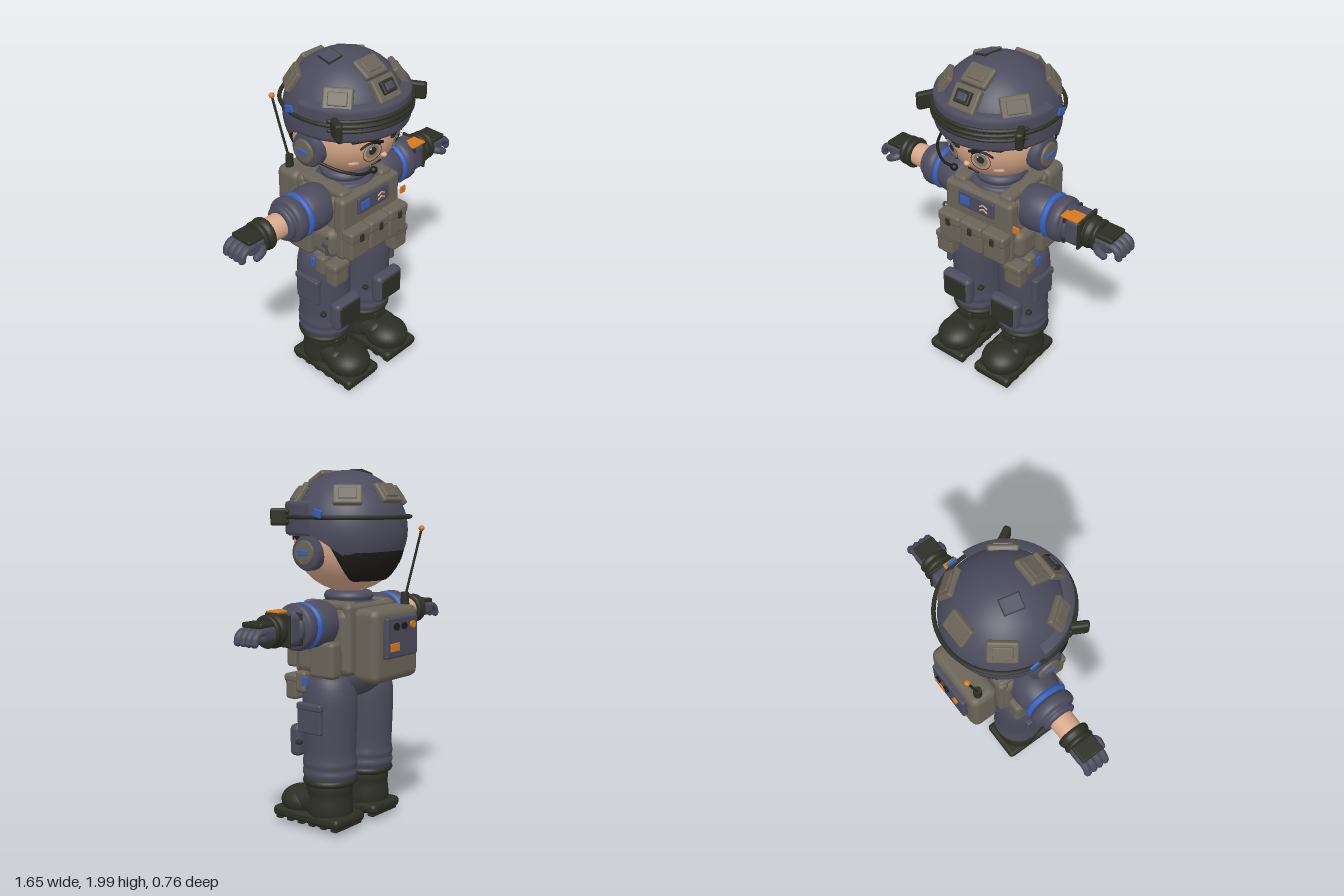
import * as THREE from 'three';
import { RoundedBoxGeometry } from 'three/addons/geometries/RoundedBoxGeometry.js';
import { ParametricGeometry } from 'three/addons/geometries/ParametricGeometry.js';

const mat = (name, color) => Object.assign(new THREE.MeshStandardMaterial({ color }), { name });
const M = {
  navy: mat('slate navy cloth', 0x4c4b5d), taupe: mat('taupe webbing', 0x6a6457),
  olive: mat('dark olive rubber', 0x2d2e23), skin: mat('skin', 0xd9a98a),
  blue: mat('blue', 0x3560bd), orange: mat('orange', 0xd67a1e),
  black: mat('black', 0x1e1b18), grey: mat('eye grey', 0x85857a), white: mat('eye glint', 0xe8e4da),
};
const V = (x, y, z) => new THREE.Vector3(x, y, z);

export function createModel() {
  const root = new THREE.Group();
  root.name = 'soldierFigure';

  const group = (name, parent = root) => {
    const g = new THREE.Group();
    g.name = name;
    parent.add(g);
    return g;
  };
  const add = (parent, name, geo, material, x = 0, y = 0, z = 0) => {
    const m = new THREE.Mesh(geo, material);
    m.name = name;
    m.position.set(x, y, z);
    parent.add(m);
    return m;
  };
  const box = (p, n, m, w, h, d, x, y, z, r = 0.015) =>
    add(p, n, new RoundedBoxGeometry(w, h, d, 2, Math.min(r, w / 2.1, h / 2.1, d / 2.1)), m, x, y, z);
  const ball = (p, n, m, rx, ry, rz, x, y, z) =>
    add(p, n, new THREE.SphereGeometry(1, 28, 18).scale(rx, ry, rz), m, x, y, z);
  const tube = (p, n, m, pts, r) => {
    add(p, n, new THREE.TubeGeometry(new THREE.CatmullRomCurve3(pts), 16, r, 8), m);
    for (const e of [pts[0], pts[pts.length - 1]])
      add(p, n + 'End', new THREE.SphereGeometry(r, 8, 6), m, e.x, e.y, e.z);
  };
  const lathe = (pts, start = 0, len = Math.PI * 2) =>
    new THREE.LatheGeometry(pts.map(([r, y]) => new THREE.Vector2(r, y)), 32, start, len);
  const smooth = (pts) => new THREE.SplineCurve(pts.map(([r, y]) => new THREE.Vector2(r, y)))
    .getPoints(24).map((p) => [Math.max(p.x, 0), p.y]);
  const alongX = (geo) => geo.rotateZ(-Math.PI / 2);

  // Dome shell whose lower edge follows a height rule; the first row turns inward as a rim
  const shell = (c, rx, ry, rz, edge) => new ParametricGeometry((u, v, t) => {
    const az = u * Math.PI * 2 - Math.PI;
    const low = Math.acos((edge((1 - Math.cos(az)) / 2, az) - c.y) / ry);
    const k = v === 0 ? 0.88 : 1;
    const a = low * (1 - Math.max(0, (v * 20 - 1) / 19));
    t.set(c.x + rx * k * Math.sin(a) * Math.sin(az), c.y + ry * Math.cos(a), c.z + rz * k * Math.sin(a) * Math.cos(az));
  }, 64, 20);
  const step = THREE.MathUtils.smoothstep;

  // Head and face
  const head = group('head');
  ball(head, 'face', M.skin, 0.3, 0.28, 0.3, 0, 1.6, 0);
  add(head, 'hair', shell(V(0, 1.6, 0), 0.308, 0.288, 0.308,
    (s, az) => 1.62 + 0.012 * Math.sin(az * 16) * (s < 0.5 ? 1 : 0) - 0.23 * step(s, 0.6, 0.85)), M.black);
  const onFace = (x, y, off = 0.003) => {
    const z = 0.3 * Math.sqrt(1 - (x / 0.3) ** 2 - ((y - 1.6) / 0.28) ** 2);
    const n = V(x / 0.09, (y - 1.6) / 0.0784, z / 0.09).normalize();
    return [V(x, y, z).addScaledVector(n, off), n];
  };
  const decal = (n, geo, m, x, y, off) => {
    const [p, nor] = onFace(x, y, off);
    add(head, n, geo, m, p.x, p.y, p.z).lookAt(p.clone().add(nor));
  };
  const line = (n, m, pts, r) => tube(head, n, m, pts.map(([x, y]) => onFace(x, y, 0.002)[0]), r);
  for (const s of [-1, 1]) {
    decal('eyeOutline', new THREE.RingGeometry(0.05, 0.053, 32).scale(1, 1.2, 1), M.black, s * 0.092, 1.54, 0.006);
    decal('iris', new THREE.CircleGeometry(0.038, 32).scale(1, 1.2, 1), M.grey, s * 0.092, 1.545, 0.005);
    decal('pupil', new THREE.CircleGeometry(0.021, 24).scale(1, 1.2, 1), M.olive, s * 0.092, 1.548, 0.007);
    decal('eyeGlint', new THREE.CircleGeometry(0.006, 12), M.white, s * 0.092 - 0.012, 1.564, 0.009);
    line('upperLash', M.black, [[s * 0.15, 1.568], [s * 0.12, 1.59], [s * 0.08, 1.591], [s * 0.05, 1.575]], 0.006);
    line('eyebrow', M.black, [[s * 0.185, 1.61], [s * 0.11, 1.612], [s * 0.035, 1.583]], 0.008);
    const [c] = onFace(s * 0.155, 1.465, -0.004);
    ball(head, 'cheek', M.skin, 0.03, 0.014, 0.012, c.x, c.y, c.z).rotation.y = s * 0.6;
  }
  ball(head, 'nose', M.skin, 0.017, 0.014, 0.02, 0, 1.485, 0.277);
  line('mouth', M.black, [[-0.03, 1.418], [0, 1.428], [0.03, 1.418]], 0.006);

  // Helmet shell, brim, goggle frame and strap
  const helmet = group('helmet');
  const hc = V(0, 1.66, 0.005);
  add(helmet, 'helmetShell', shell(hc, 0.328, 0.32, 0.328, (s) => 1.63 - 0.15 * step(s, 0.5, 0.95)), M.navy);
  add(helmet, 'brim', lathe([[0.3, 1.635], [0.33, 1.635], [0.335, 1.65], [0.336, 1.79], [0.331, 1.81], [0.28, 1.818]],
    -Math.PI / 2, Math.PI).scale(1, 1, 1.06), M.navy);
  const strap = add(helmet, 'strap', new THREE.TorusGeometry(0.338, 0.011, 8, 64).rotateX(Math.PI / 2), M.olive, 0, 1.73, 0.012);
  strap.scale.z = 1.04;
  const arc = (y) => Array.from({ length: 17 }, (_, i) => {
    const a = (i / 8 - 1) * 1.05;
    return V(0.348 * Math.sin(a), y, 0.362 * Math.cos(a));
  });
  tube(helmet, 'goggleTop', M.olive, arc(1.757), 0.011);
  tube(helmet, 'goggleBottom', M.olive, arc(1.703), 0.009);
  for (const s of [-1, 1]) {
    box(helmet, 'goggleClip', M.olive, 0.04, 0.095, 0.1, s * 0.302, 1.73, 0.235, 0.014).rotation.y = s * 0.5;
    box(helmet, 'strapTag', M.blue, 0.012, 0.04, 0.055, s * 0.338, 1.752, -0.06, 0.004).rotation.x = -0.3;
  }
  // Patches lying on the dome
  const onDome = (name, az, pol) => {
    const g = group(name, helmet);
    const n = V(Math.sin(pol) * Math.sin(az), Math.cos(pol), Math.sin(pol) * Math.cos(az));
    g.position.copy(hc).add(V(n.x * 0.328, n.y * 0.32, n.z * 0.328));
    g.lookAt(g.position.clone().add(n));
    return g;
  };
  for (const [az, pol] of [[0, 0.53], [0.94, 0.98], [-0.94, 0.98], [2.23, 0.96], [-2.23, 0.96], [Math.PI, 0.92]]) {
    const g = onDome('helmetPatch', az, pol);
    box(g, 'patchBase', M.taupe, 0.155, 0.12, 0.034, 0, 0, 0.004, 0.012);
    box(g, 'patchInset', M.taupe, 0.1, 0.07, 0.02, 0, 0, 0.018, 0.006);
  }
  const mount = onDome('lampMount', 0, 0.93);
  box(mount, 'mountBase', M.taupe, 0.16, 0.13, 0.04, 0, 0, 0.01, 0.012);
  box(mount, 'mountBlock', M.olive, 0.09, 0.07, 0.04, 0, 0.005, 0.03, 0.008);
  box(mount, 'mountFace', M.navy, 0.055, 0.04, 0.02, 0, 0.005, 0.046, 0.006);
  const crown = onDome('crownPatch', -1.8, 0.28);
  box(crown, 'crownEdge', M.olive, 0.108, 0.084, 0.012, 0, 0, 0, 0.003);
  box(crown, 'crownPlate', M.navy, 0.1, 0.076, 0.012, 0, 0, 0.003, 0.003);

  // Ear cups and microphone
  for (const s of [-1, 1]) {
    const ear = group('earCup');
    ear.position.set(s * 0.255, 1.545, 0.035);
    ear.scale.x = s;
    add(ear, 'cup', alongX(lathe([[0.09, 0], [0.096, 0.015], [0.096, 0.055], [0.085, 0.075], [0, 0.078]])), M.navy);
    add(ear, 'cupDisc', alongX(lathe([[0.066, 0.07], [0.066, 0.082], [0.058, 0.09], [0, 0.09]])), M.taupe);
    box(ear, 'cupLight', M.blue, 0.01, 0.026, 0.065, 0.091, 0, 0, 0.004);
  }
  tube(root, 'microphoneBoom', M.black, [V(-0.31, 1.5, 0.09), V(-0.25, 1.465, 0.22), V(-0.16, 1.435, 0.28), V(-0.085, 1.43, 0.285)], 0.008);
  ball(root, 'microphone', M.black, 0.022, 0.02, 0.02, -0.082, 1.43, 0.285);

  // Torso, collar and hips
  ball(root, 'torso', M.navy, 0.24, 0.27, 0.16, 0, 1.06, 0);
  add(root, 'collar', lathe(smooth([[0.17, 1.22], [0.155, 1.265], [0.13, 1.275], [0.138, 1.3], [0.12, 1.325], [0.08, 1.33]])), M.navy);
  ball(root, 'hips', M.navy, 0.262, 0.13, 0.168, 0, 0.86, -0.003);
  add(root, 'belt', new THREE.CylinderGeometry(0.25, 0.25, 0.05, 40, 1).scale(1, 1, 0.68), M.olive, 0, 0.868, 0);

  // Vest
  const vest = group('vest');
  box(vest, 'vestBody', M.taupe, 0.45, 0.37, 0.32, 0, 1.06, 0, 0.05);
  box(vest, 'chestPlate', M.taupe, 0.45, 0.38, 0.08, 0, 1.065, 0.165, 0.025);
  box(vest, 'backPlate', M.taupe, 0.42, 0.38, 0.06, 0, 1.08, -0.14, 0.025);
  box(vest, 'waistBand', M.taupe, 0.54, 0.18, 0.3, 0, 0.97, 0.02, 0.05);
  box(vest, 'nameBase', M.navy, 0.24, 0.1, 0.02, 0, 1.185, 0.21, 0.009);
  box(vest, 'nameBadge', M.blue, 0.065, 0.05, 0.008, -0.07, 1.185, 0.222, 0.003);
  for (const y of [1.172, 1.198]) for (const s of [-1, 1])
    box(vest, 'chevron', M.skin, 0.032, 0.008, 0.006, 0.055 + s * 0.013, y, 0.222, 0.002).rotation.z = -s * 0.5;
  box(vest, 'orangeTag', M.orange, 0.04, 0.042, 0.01, 0.257, 1.12, 0.2, 0.003);
  for (const x of [-0.152, 0, 0.152]) {
    box(vest, 'magazinePouch', M.taupe, 0.146, 0.17, 0.07, x, 0.985, 0.232, 0.018);
    box(vest, 'pouchFlap', M.taupe, 0.15, 0.065, 0.082, x, 1.048, 0.232, 0.016);
    box(vest, 'pouchBuckle', M.olive, 0.026, 0.045, 0.012, x, 1.035, 0.276, 0.004);
  }
  for (const s of [-1, 1]) {
    box(vest, 'shoulderStrap', M.taupe, 0.085, 0.05, 0.33, s * 0.155, 1.255, 0.005, 0.022);
    box(vest, 'sidePouch', M.taupe, 0.09, 0.2, 0.17, s * 0.265, 0.975, -0.05, 0.025);
    box(vest, 'hipPouch', M.taupe, 0.115, 0.13, 0.08, s * 0.24, 0.8, 0.175, 0.02);
    box(vest, 'hipPouchFlap', M.taupe, 0.122, 0.045, 0.09, s * 0.24, 0.855, 0.175, 0.015);
    box(vest, 'hipHolder', M.taupe, 0.06, 0.12, 0.07, s * 0.275, 0.84, 0.1, 0.018);
    box(vest, 'hipTag', M.blue, 0.012, 0.05, 0.032, s * 0.308, 0.85, 0.06, 0.004);
  }
  add(vest, 'clipRing', new THREE.TorusGeometry(0.024, 0.007, 8, 24), M.navy, -0.28, 1.0, 0.13);
  box(vest, 'clipStrap', M.navy, 0.016, 0.07, 0.016, -0.275, 0.945, 0.13, 0.005);

  // Backpack radio with antenna
  const pack = group('backpack');
  box(pack, 'packBody', M.taupe, 0.4, 0.4, 0.17, 0, 1.055, -0.255, 0.045);
  box(pack, 'radioPanel', M.navy, 0.28, 0.22, 0.04, 0, 1.1, -0.35, 0.012);
  [[0.07, 'black'], [0, 'black'], [-0.08, 'orange']].forEach(([x, c]) =>
    add(pack, 'radioKnob', new THREE.CylinderGeometry(0.018, 0.02, 0.018, 20).rotateX(Math.PI / 2), M[c], x, 1.16, -0.375));
  box(pack, 'radioLabel', M.orange, 0.08, 0.045, 0.01, 0.075, 1.05, -0.371, 0.003);
  add(pack, 'antennaBase', new THREE.CylinderGeometry(0.022, 0.024, 0.07, 20), M.olive, -0.15, 1.285, -0.275);
  tube(pack, 'antenna', M.olive, [V(-0.15, 1.3, -0.278), V(-0.17, 1.48, -0.315), V(-0.188, 1.665, -0.354)], 0.007);
  ball(pack, 'antennaTip', M.orange, 0.016, 0.016, 0.016, -0.188, 1.668, -0.354);

  // Arms and gloved hands, modelled pointing along +x and mirrored
  for (const s of [-1, 1]) {
    const arm = group(s > 0 ? 'leftArm' : 'rightArm');
    arm.position.set(0, 1.165, 0.01);
    arm.scale.x = s;
    const turned = (n, m, pts) => add(arm, n, alongX(lathe(smooth(pts))), m);
    turned('shoulder', M.navy, [[0.08, 0.14], [0.115, 0.2], [0.127, 0.27], [0.12, 0.33], [0.105, 0.37], [0.105, 0.41]]);
    add(arm, 'armBand', new THREE.TorusGeometry(0.105, 0.022, 10, 36).rotateY(Math.PI / 2), M.blue, 0.368).scale.x = 0.85;
    turned('sleeve', M.navy, [[0.1, 0.38], [0.122, 0.4], [0.127, 0.43], [0.12, 0.455], [0.098, 0.465],
      [0.098, 0.485], [0.085, 0.498], [0.05, 0.5]]);
    turned('forearm', s > 0 ? M.navy : M.skin, [[0.068, 0.47], [0.068, 0.55], [0.064, 0.62]]);
    turned('gloveCuff', M.olive, [[0.05, 0.588], [0.084, 0.592], [0.09, 0.61], [0.085, 0.625], [0.08, 0.635],
      [0.086, 0.65], [0.08, 0.665], [0.04, 0.67]]);
    box(arm, 'palm', M.navy, 0.12, 0.085, 0.15, 0.705, -0.003, 0, 0.03);
    box(arm, 'handPlate', M.olive, 0.1, 0.028, 0.135, 0.715, 0.042, 0.003, 0.01);
    for (const z of [-0.058, -0.02, 0.018, 0.056])
      tube(arm, 'finger', M.navy, [V(0.73, 0.012, z), V(0.775, 0.008, z), V(0.8, -0.015, z), V(0.805, -0.04, z)], 0.021);
    tube(arm, 'thumb', M.navy, [V(0.67, -0.015, 0.06), V(0.7, -0.025, 0.09), V(0.735, -0.04, 0.09)], 0.021);
    if (s > 0) {
      box(arm, 'wristDevice', M.navy, 0.1, 0.165, 0.165, 0.525, 0, 0, 0.03);
      for (const x of [0.482, 0.572]) box(arm, 'deviceStrap', M.olive, 0.018, 0.172, 0.172, x, 0, 0, 0.03);
      box(arm, 'devicePanel', M.orange, 0.105, 0.012, 0.085, 0.515, 0.087, 0.045, 0.004);
    }
  }

  // Legs, pads and boots, mirrored
  for (const s of [-1, 1]) {
    const leg = group(s > 0 ? 'leftLeg' : 'rightLeg');
    leg.position.x = s * 0.168;
    leg.scale.x = s;
    add(leg, 'trouserLeg', lathe(smooth([[0.12, 0.26], [0.14, 0.31], [0.147, 0.335], [0.141, 0.36], [0.147, 0.39], [0.14, 0.43],
      [0.143, 0.55], [0.147, 0.68], [0.143, 0.78], [0.115, 0.87], [0.05, 0.91]])).scale(1, 1, 1.06), M.navy);
    box(leg, 'kneePadBase', M.navy, 0.2, 0.18, 0.075, 0.005, 0.495, 0.175, 0.028);
    box(leg, 'kneePadFace', M.olive, 0.155, 0.14, 0.02, 0.005, 0.495, 0.21, 0.009);
    for (const x of [-0.115, 0.125]) box(leg, 'kneeStrap', M.olive, 0.03, 0.025, 0.035, x, 0.5, 0.118, 0.008);
    box(leg, 'thighPocket', M.navy, 0.035, 0.16, 0.165, 0.142, 0.645, 0.02, 0.012);
    box(leg, 'pocketFlap', M.navy, 0.042, 0.04, 0.172, 0.145, 0.715, 0.02, 0.012);
    add(leg, 'bootCuff', new THREE.TorusGeometry(0.132, 0.02, 10, 36).rotateX(Math.PI / 2), M.olive, 0, 0.285, 0);
    add(leg, 'bootShaft', lathe(smooth([[0.12, 0.06], [0.13, 0.12], [0.124, 0.2], [0.128, 0.24], [0.124, 0.29]])), M.olive);
    ball(leg, 'bootToe', M.olive, 0.127, 0.088, 0.135, 0, 0.13, 0.19);
    box(leg, 'bootInstep', M.olive, 0.22, 0.13, 0.2, 0, 0.15, 0.11, 0.06);
    box(leg, 'bootTongue', M.olive, 0.1, 0.1, 0.05, 0, 0.225, 0.12, 0.02);
    box(leg, 'bootSole', M.olive, 0.258, 0.06, 0.475, 0, 0.07, 0.085, 0.025);
    for (let i = 0; i < 6; i++) box(leg, 'bootTread', M.olive, 0.235, 0.03, 0.045, 0, 0.04, -0.115 + i * 0.08, 0.01);
    ball(leg, 'bootHeel', M.olive, 0.1, 0.05, 0.09, 0, 0.05, 0.01);
  }
  return root;
}
